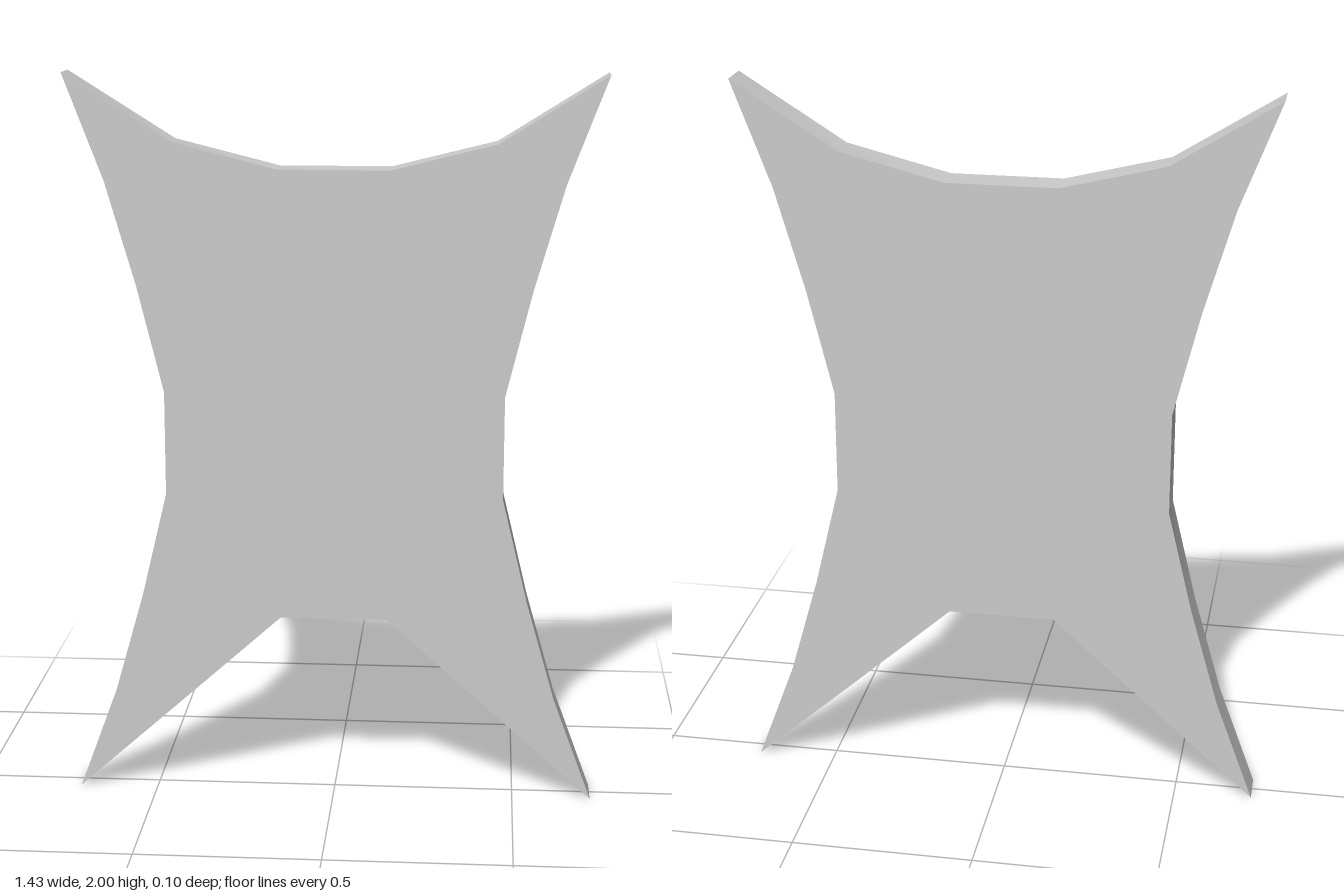
import * as THREE from 'three';
import { toCreasedNormals } from 'three/addons/utils/BufferGeometryUtils.js';

const DEPTH = 0.096;

// Left half of the outline, from the top middle down to the bottom notch
const HALF = [
  [0.15, 1.75], [0.43, 1.82], [0.717, 2],
  [0.61, 1.715], [0.53, 1.435], [0.46, 1.145],
  [0.46, 0.86], [0.53, 0.57], [0.61, 0.29],
  [0.717, 0], [0.427, 0.26], [0.147, 0.512],
];

export function createModel() {
  const group = new THREE.Group();
  group.name = 'stretchedPanel';

  // Mirror the half outline into a closed shape
  const mirrored = HALF.map(([x, y]) => [-x, y]).reverse();
  const outline = [...HALF, ...mirrored].map(([x, y]) => new THREE.Vector2(x, y));
  const shape = new THREE.Shape(outline);

  // Flat slab with softly shaded concave rims and sharp face edges
  const slab = new THREE.ExtrudeGeometry(shape, { depth: DEPTH, bevelEnabled: false });
  slab.translate(0, 0, -DEPTH / 2);
  const panel = new THREE.Mesh(
    toCreasedNormals(slab, THREE.MathUtils.degToRad(50)),
    new THREE.MeshStandardMaterial({ color: 0xcccccc }),
  );
  panel.name = 'panel';
  group.add(panel);
  return group;
}
